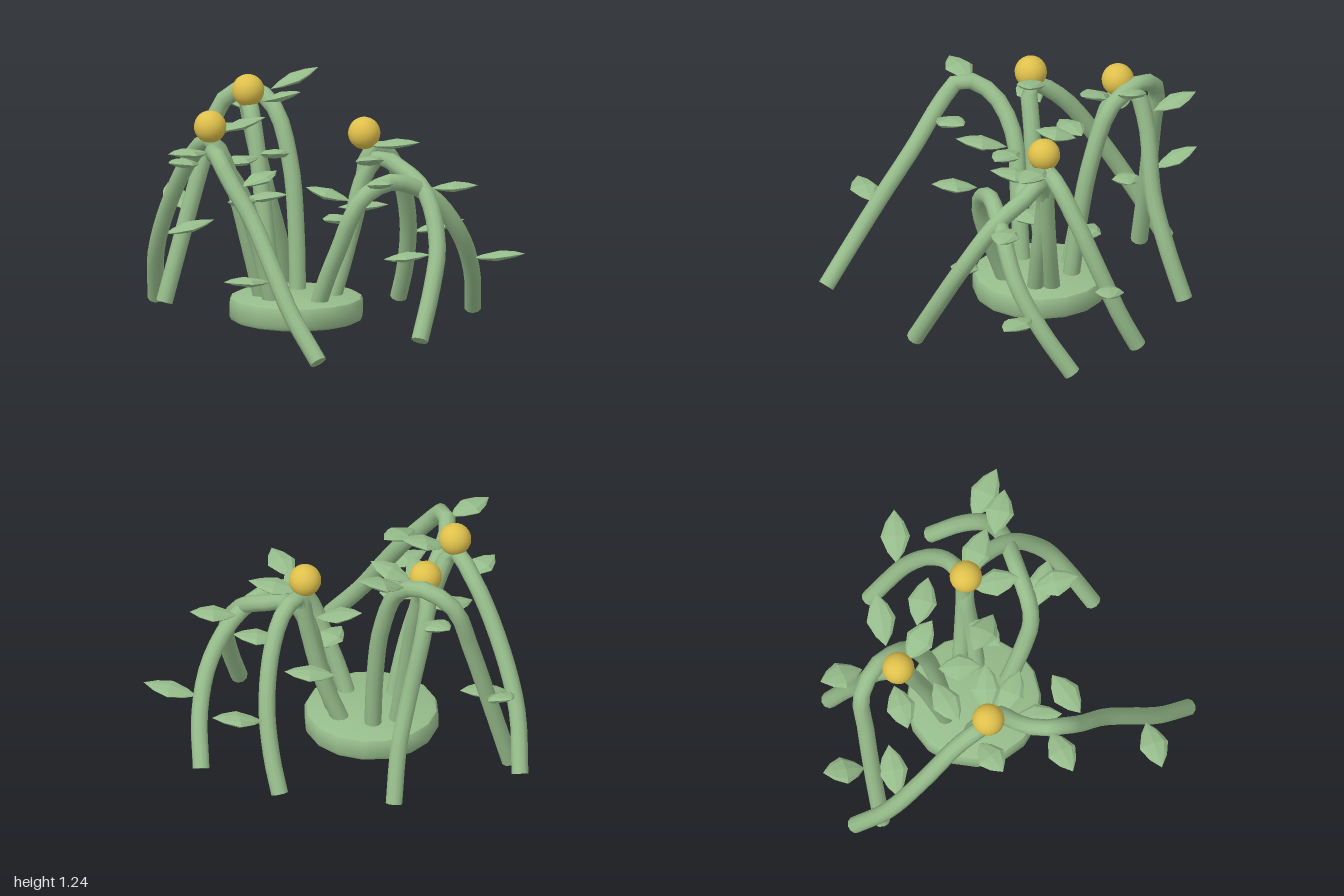
import * as THREE from 'three';
import { toCreasedNormals } from 'three/addons/utils/BufferGeometryUtils.js';

const STEM_RADIUS = 0.044;

export function createModel() {
  const model = new THREE.Group();
  model.name = 'archingPlant';
  const green = new THREE.MeshStandardMaterial({ color: 0x96bc8b });
  green.name = 'leafGreen';
  const yellow = new THREE.MeshStandardMaterial({ color: 0xdfc04b });
  yellow.name = 'blossomYellow';

  const add = (parent, name, geometry, material) => {
    const mesh = new THREE.Mesh(geometry, material);
    mesh.name = name;
    parent.add(mesh);
    return mesh;
  };

  // Round base with softened rims
  const rim = [[0, 0.03], [0.31, 0.03], [0.335, 0.04], [0.345, 0.06],
    [0.345, 0.13], [0.335, 0.15], [0.31, 0.16], [0, 0.16]];
  const baseGeometry = new THREE.LatheGeometry(rim.map(([r, y]) => new THREE.Vector2(r, y)), 16);
  const base = add(model, 'base', toCreasedNormals(baseGeometry, 0.7), green);
  base.position.set(-0.135, 0, -0.165);

  // Seven stems rise from the base, arch over and reach the ground outside it
  const stems = {
    front: [[-0.21, 0.025, -0.04], [-0.29, 0.45, 0.02], [-0.38, 0.75, 0.08], [-0.45, 0.91, 0.2],
      [-0.46, 0.98, 0.32], [-0.42, 0.99, 0.41], [-0.34, 0.88, 0.48], [-0.2, 0.69, 0.56],
      [-0.07, 0.47, 0.67], [0.05, 0.26, 0.77], [0.22, 0.03, 0.87]],
    rightFront: [[0.015, 0.025, -0.19], [0.11, 0.4, -0.26], [0.18, 0.75, -0.32], [0.26, 0.86, -0.33],
      [0.37, 0.82, -0.3], [0.53, 0.72, -0.2], [0.63, 0.48, -0.05], [0.63, 0.28, 0.07], [0.6, 0.03, 0.22]],
    rightBack: [[-0.03, 0.025, -0.06], [0.06, 0.28, -0.01], [0.14, 0.47, 0.02], [0.19, 0.6, 0.03],
      [0.25, 0.71, 0], [0.38, 0.78, -0.11], [0.55, 0.69, -0.24], [0.67, 0.48, -0.37],
      [0.7, 0.26, -0.52], [0.67, 0.03, -0.68]],
    back: [[-0.04, 0.025, -0.28], [0.1, 0.4, -0.31], [0.18, 0.75, -0.33], [0.21, 0.9, -0.35],
      [0.27, 0.87, -0.43], [0.32, 0.72, -0.55], [0.33, 0.45, -0.69], [0.29, 0.2, -0.79], [0.24, 0.03, -0.86]],
    backCentre: [[-0.26, 0.025, -0.25], [-0.32, 0.4, -0.3], [-0.38, 0.8, -0.37], [-0.44, 1.06, -0.45],
      [-0.48, 1.09, -0.54], [-0.47, 0.93, -0.61], [-0.4, 0.55, -0.68], [-0.36, 0.3, -0.77], [-0.35, 0.03, -0.87]],
    backLeft: [[-0.16, 0.025, -0.31], [-0.18, 0.45, -0.36], [-0.22, 0.78, -0.41], [-0.32, 1.06, -0.48],
      [-0.47, 1.14, -0.57], [-0.62, 1.06, -0.6], [-0.7, 0.8, -0.55], [-0.79, 0.43, -0.48], [-0.88, 0.04, -0.4]],
    left: [[-0.285, 0.025, -0.14], [-0.35, 0.4, -0.06], [-0.44, 0.8, 0.01], [-0.53, 0.99, 0.05],
      [-0.65, 0.89, -0.06], [-0.8, 0.62, -0.2], [-0.91, 0.32, -0.35], [-0.95, 0.04, -0.52]],
  };
  const stemGroup = new THREE.Group();
  stemGroup.name = 'stems';
  model.add(stemGroup);
  const capGeometry = new THREE.CircleGeometry(STEM_RADIUS, 10);
  for (const [name, points] of Object.entries(stems)) {
    const curve = new THREE.CatmullRomCurve3(points.map(p => new THREE.Vector3(...p)), false, 'centripetal');
    add(stemGroup, name + 'Stem', new THREE.TubeGeometry(curve, 28, STEM_RADIUS, 10), green);
    // Flat end caps
    for (const [t, sign] of [[0, -1], [1, 1]]) {
      const cap = add(stemGroup, name + 'StemEnd', capGeometry, green);
      const outward = curve.getTangentAt(t).multiplyScalar(sign);
      cap.position.copy(curve.getPointAt(t));
      cap.quaternion.setFromUnitVectors(new THREE.Vector3(0, 0, 1), outward);
    }
  }

  // Pointed, flattened leaf of unit length along +y
  const leafProfile = [[0, 0], [0.2, 0.2], [0.36, 0.5], [0.22, 0.78], [0, 1]];
  const leafGeometry = toCreasedNormals(
    new THREE.LatheGeometry(leafProfile.map(([r, y]) => new THREE.Vector2(r, y)), 8), 0.6);

  // Each leaf: attachment point, then tip
  const leaves = [
    [0.34, 0.39, -0.75, 0.59, 0.45, -0.85],
    [0.72, 0.33, -0.47, 1.0, 0.37, -0.44],
    [0.54, 0.72, -0.29, 0.78, 0.74, -0.32],
    [0.26, 0.57, -0.55, 0.0, 0.55, -0.52],
    [0.3, 0.79, 0.0, 0.43, 0.83, 0.2],
    [0.6, 0.43, -0.02, 0.36, 0.4, 0.01],
    [0.2, 0.92, -0.33, 0.48, 0.95, -0.31],
    [0.19, 0.84, -0.29, 0.3, 0.9, -0.07],
    [0.12, 0.55, -0.28, 0.03, 0.57, -0.08],
    [0.15, 0.66, -0.16, -0.09, 0.72, -0.18],
    [-0.36, 1.14, -0.56, -0.14, 1.24, -0.69],
    [-0.47, 1.0, -0.65, -0.63, 1.07, -0.82],
    [-0.38, 1.1, -0.44, -0.16, 1.17, -0.38],
    [-0.8, 0.5, -0.52, -0.93, 0.6, -0.7],
    [-0.86, 0.41, -0.32, -0.63, 0.47, -0.45],
    [-0.49, 0.97, -0.47, -0.68, 0.95, -0.33],
    [-0.6, 0.86, 0.03, -0.72, 0.89, 0.2],
    [-0.5, 1.03, 0.03, -0.27, 1.1, -0.05],
    [-0.36, 0.84, -0.3, -0.52, 0.83, -0.11],
    [-0.29, 0.86, -0.3, -0.22, 0.9, -0.1],
    [-0.37, 0.69, 0.06, -0.12, 0.73, 0.08],
    [-0.38, 0.69, 0.12, -0.27, 0.74, 0.36],
    [-0.27, 0.84, 0.46, -0.14, 0.89, 0.26],
    [-0.47, 0.99, 0.37, -0.64, 1.01, 0.55],
    [-0.06, 0.41, 0.74, -0.27, 0.43, 0.9],
  ];
  const leafGroup = new THREE.Group();
  leafGroup.name = 'leaves';
  model.add(leafGroup);
  const up = new THREE.Vector3(0, 1, 0);
  for (const [x, y, z, tx, ty, tz] of leaves) {
    const start = new THREE.Vector3(x, y, z);
    const along = new THREE.Vector3(tx, ty, tz).sub(start);
    const length = along.length();
    along.normalize();
    const side = new THREE.Vector3().crossVectors(along, up).normalize();
    const normal = new THREE.Vector3().crossVectors(side, along);
    const leaf = add(leafGroup, 'leaf', leafGeometry, green);
    leaf.position.copy(start);
    leaf.quaternion.setFromRotationMatrix(new THREE.Matrix4().makeBasis(side, along, normal));
    leaf.scale.set(0.21, length, 0.07);
  }

  // Round blossoms on the highest arches
  const blossomGeometry = new THREE.SphereGeometry(0.083, 20, 14);
  for (const p of [[-0.455, 1.15, -0.46], [-0.535, 1.06, 0.055], [0.185, 0.985, -0.32]]) {
    add(model, 'blossom', blossomGeometry, yellow).position.set(...p);
  }
  return model;
}
